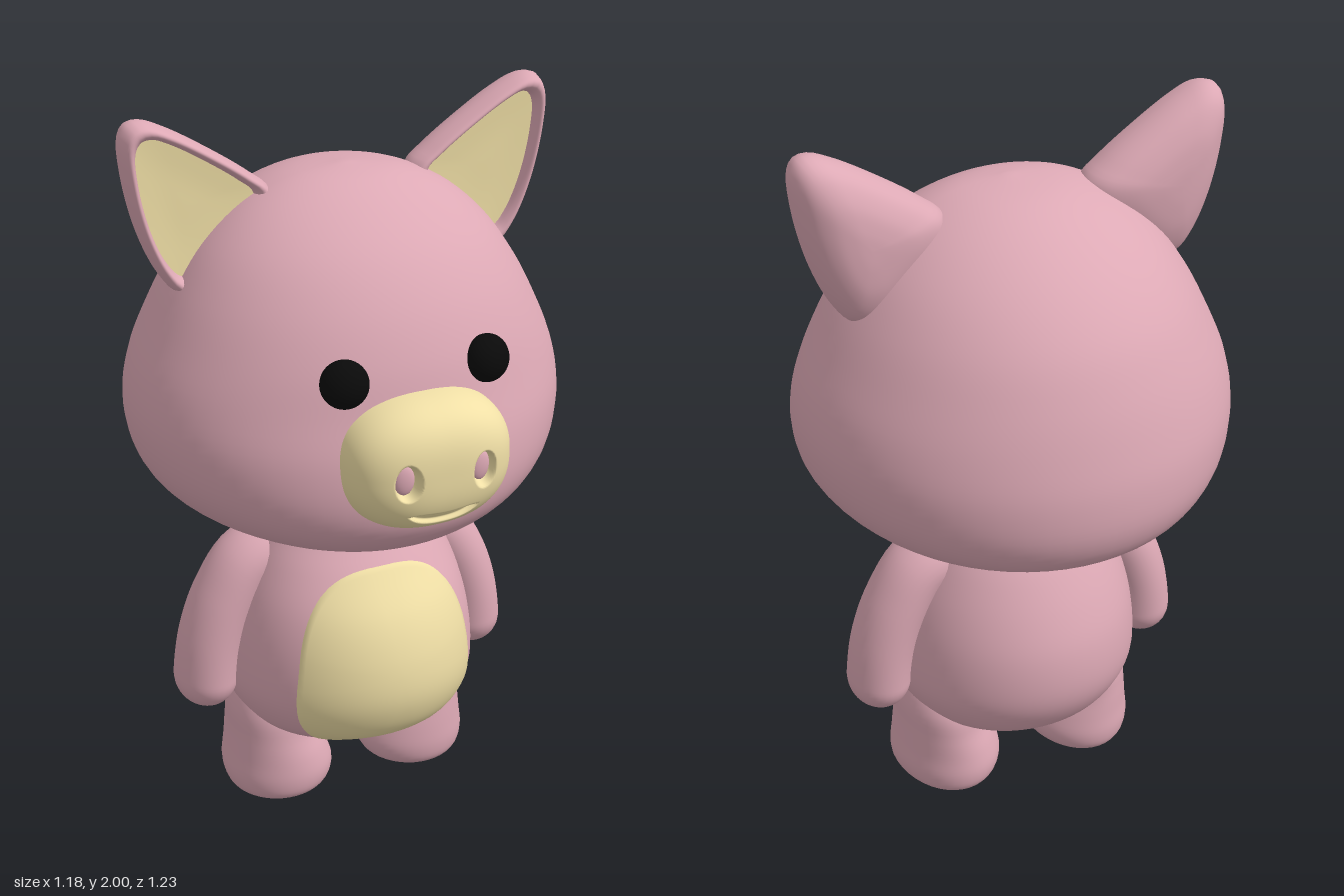
import * as THREE from 'three';
import { mergeVertices } from 'three/addons/utils/BufferGeometryUtils.js';

const V2 = (x, y) => new THREE.Vector2(x, y);
const pink = new THREE.MeshStandardMaterial({ color: 0xdda9b5 });
const cream = new THREE.MeshStandardMaterial({ color: 0xf0dfa6 });
const black = new THREE.MeshStandardMaterial({ color: 0x0a0a0a });

// Closed surface from rings: fn(angle, v) gives a point, v runs 0..1 along the rings
function rings(fn, around, along) {
  const pos = [], idx = [];
  for (let j = 0; j <= along; j++)
    for (let i = 0; i < around; i++) pos.push(...fn((i / around) * Math.PI * 2, j / along));
  for (let j = 0; j < along; j++)
    for (let i = 0; i < around; i++) {
      const k = (i + 1) % around;
      const a = j * around + i, b = j * around + k, c = a + around, d = b + around;
      idx.push(a, c, b, b, c, d);
    }
  let g = new THREE.BufferGeometry();
  g.setAttribute('position', new THREE.Float32BufferAttribute(pos, 3));
  g.setIndex(idx);
  g = mergeVertices(g, 1e-5);
  g.computeVertexNormals();
  return g;
}

// Upright form from rows [y, half width, front depth, back depth, centre x]
function sections(rows) {
  const a = new THREE.SplineCurve(rows.map(r => V2(r[0], r[1])));
  const b = new THREE.SplineCurve(rows.map(r => V2(r[2], r[3])));
  const c = new THREE.SplineCurve(rows.map(r => V2(r[4] || 0, 0)));
  return t => {
    const p = a.getPoint(t), q = b.getPoint(t);
    return { y: Math.max(0, p.x), rx: Math.max(0, p.y), zf: Math.max(0, q.x), zb: Math.max(0, q.y), cx: c.getPoint(t).x };
  };
}
function loft(at, around, along) {
  return rings((a, v) => {
    const s = at(v), sn = Math.sin(a);
    return [s.cx + s.rx * Math.cos(a), s.y, sn * (sn > 0 ? s.zf : s.zb)];
  }, around, along);
}

const power = (c, n) => Math.sign(c) * Math.abs(c) ** (2 / n);

function mirrored(geo) {
  const g = geo.clone().scale(-1, 1, 1), ix = g.index.array;
  for (let i = 0; i < ix.length; i += 3) [ix[i], ix[i + 1]] = [ix[i + 1], ix[i]];
  g.computeVertexNormals();
  return g;
}

export function createModel() {
  const model = new THREE.Group();
  const add = (name, geo, mat) => {
    const m = new THREE.Mesh(geo, mat);
    m.name = name;
    model.add(m);
  };
  const pair = (name, geo, mat) => {
    add('left' + name, geo, mat);
    add('right' + name, mirrored(geo), mat);
  };

  // Head: wide at the cheeks, domed on top
  add('head', loft(sections([
    [0.84, 0, 0, 0], [0.847, 0.12, 0.16, 0.08], [0.875, 0.26, 0.31, 0.25], [0.92, 0.39, 0.42, 0.43],
    [0.99, 0.5, 0.495, 0.555], [1.08, 0.567, 0.52, 0.606], [1.2, 0.592, 0.51, 0.61], [1.32, 0.575, 0.477, 0.585],
    [1.44, 0.525, 0.445, 0.545], [1.56, 0.462, 0.39, 0.485], [1.67, 0.382, 0.308, 0.39],
    [1.76, 0.275, 0.2, 0.27], [1.815, 0.15, 0.1, 0.145], [1.835, 0, 0, 0],
  ]), 64, 64), pink);

  // Body
  const body = sections([
    [0.145, 0, 0, 0], [0.16, 0.12, 0.1, 0.12], [0.2, 0.225, 0.18, 0.21], [0.25, 0.29, 0.265, 0.28],
    [0.3, 0.328, 0.33, 0.325], [0.37, 0.355, 0.366, 0.36], [0.45, 0.357, 0.378, 0.371], [0.55, 0.345, 0.364, 0.36],
    [0.65, 0.32, 0.325, 0.325], [0.75, 0.282, 0.255, 0.275], [0.83, 0.245, 0.195, 0.225], [0.92, 0.2, 0.15, 0.18],
  ]);
  add('body', loft(body, 64, 56), pink);

  // Belly patch follows the front of the body
  const bodyFront = (x, y) => {
    let lo = 0, hi = 1;
    for (let i = 0; i < 24; i++) {
      const mid = (lo + hi) / 2;
      if (body(mid).y < y) lo = mid; else hi = mid;
    }
    const s = body(lo);
    return s.zf * Math.sqrt(Math.max(0, 1 - (x / s.rx) ** 2));
  };
  add('bellyPatch', rings((a, v) => {
    const r = Math.min(1, v * 1.05);
    const y = 0.5 + 0.27 * r * power(Math.sin(a), 2.7);
    const x = 0.255 * r * power(Math.cos(a), 2.7) * (1 - 0.5 * (y - 0.5));
    return [x, y, bodyFront(x, y) + (v > 0.99 ? -0.02 : 0.008)];
  }, 72, 24), cream);

  // Arms: tapered sweep with a rounded hand
  const armPath = new THREE.CatmullRomCurve3([[0.17, 0.76], [0.275, 0.735], [0.35, 0.635], [0.395, 0.52], [0.414, 0.41], [0.417, 0.303]]
    .map(p => new THREE.Vector3(p[0], p[1], -0.025)));
  pair('Arm', rings((a, w) => {
    const v = 1 - (1 - w) ** 2, p = armPath.getPointAt(v), t = armPath.getTangentAt(v);
    const cap = v > 0.84 ? Math.sqrt(Math.max(0, 1 - ((v - 0.84) / 0.16) ** 2)) : 1;
    const r = 0.088 * cap * Math.cos(a);
    return [p.x + t.y * r, p.y - t.x * r, p.z + 0.104 * cap * Math.sin(a)];
  }, 32, 44), pink);

  // Legs with flat soles
  pair('Leg', loft(sections([
    [0, 0, 0, 0, 0.212], [0.001, 0.06, 0.06, 0.08, 0.212], [0.005, 0.115, 0.115, 0.16, 0.212],
    [0.025, 0.145, 0.143, 0.19, 0.211], [0.07, 0.156, 0.153, 0.2, 0.211], [0.13, 0.142, 0.15, 0.195, 0.218],
    [0.2, 0.12, 0.14, 0.187, 0.232], [0.28, 0.112, 0.128, 0.175, 0.233], [0.35, 0.09, 0.09, 0.12, 0.22], [0.38, 0, 0, 0, 0.21],
  ]), 40, 40), pink);

  // Ears: leaf outline, rolled rim, sunken cream lining and rounded back
  const outline = new THREE.CatmullRomCurve3([
    [0.535, 1.998], [0.47, 1.972], [0.35, 1.9], [0.25, 1.83], [0.2, 1.785], [0.2, 1.72], [0.27, 1.62],
    [0.38, 1.535], [0.455, 1.54], [0.5, 1.59], [0.55, 1.7], [0.585, 1.85], [0.59, 1.96], [0.572, 1.992],
  ].map(p => new THREE.Vector3(p[0], p[1], 0)), true);
  const ear = (profile, n) => {
    const curve = new THREE.SplineCurve(profile.map(p => V2(...p)));
    return rings((a, v) => {
      const p = outline.getPointAt((a / (Math.PI * 2)) % 1), q = curve.getPoint(v);
      const s = Math.max(0, q.x);
      return [0.43 + (p.x - 0.43) * s, 1.77 + (p.y - 1.77) * s, q.y];
    }, 72, n);
  };
  pair('Ear', ear([[0.7, -0.04], [0.78, -0.025], [0.82, 0.005], [0.88, 0.02], [0.95, 0.012], [1, -0.03],
    [0.96, -0.07], [0.82, -0.105], [0.55, -0.13], [0.25, -0.14], [0, -0.142]], 50), pink);
  pair('EarLining', ear([[0, -0.018], [0.4, -0.018], [0.81, -0.014]], 6), cream);

  // Snout: domed pad with dents for nostrils and smile
  const dome = s => 0.43 + 0.183 * Math.max(0, 1 - s ** 2.8) ** (1 / 2.8);
  const smooth = THREE.MathUtils.smoothstep;
  add('snout', rings((a, v) => {
    const s = Math.sin(v * Math.PI / 2);
    const x = 0.23 * s * power(Math.cos(a), 2.35), dy = 0.177 * s * power(Math.sin(a), 2.35);
    const nostril = 1 - smooth(Math.hypot((Math.abs(x) - 0.105) / 0.034, dy / 0.049), 0.72, 1.05);
    const k = (x / 0.095) ** 2;
    const gap = Math.abs(dy + 0.117 - 0.018 * k) / (0.018 * Math.max(0.01, 1 - k * k));
    const smile = k < 1 ? 1 - smooth(gap, 0.35, 1.1) : 0;
    return [x, 1.2 + dy, dome(s) - 0.032 * nostril - 0.018 * smile];
  }, 160, 90), cream);

  // Pink floors inside the nostrils
  pair('Nostril', new THREE.SphereGeometry(1, 24, 12).scale(0.027, 0.041, 0.012).rotateY(0.12).translate(0.105, 1.2, 0.573), pink);

  // Eyes
  pair('Eye', new THREE.SphereGeometry(1, 32, 20).scale(0.062, 0.062, 0.052)
    .rotateX(-0.2).rotateY(0.35).translate(0.198, 1.415, 0.427), black);

  return model;
}
